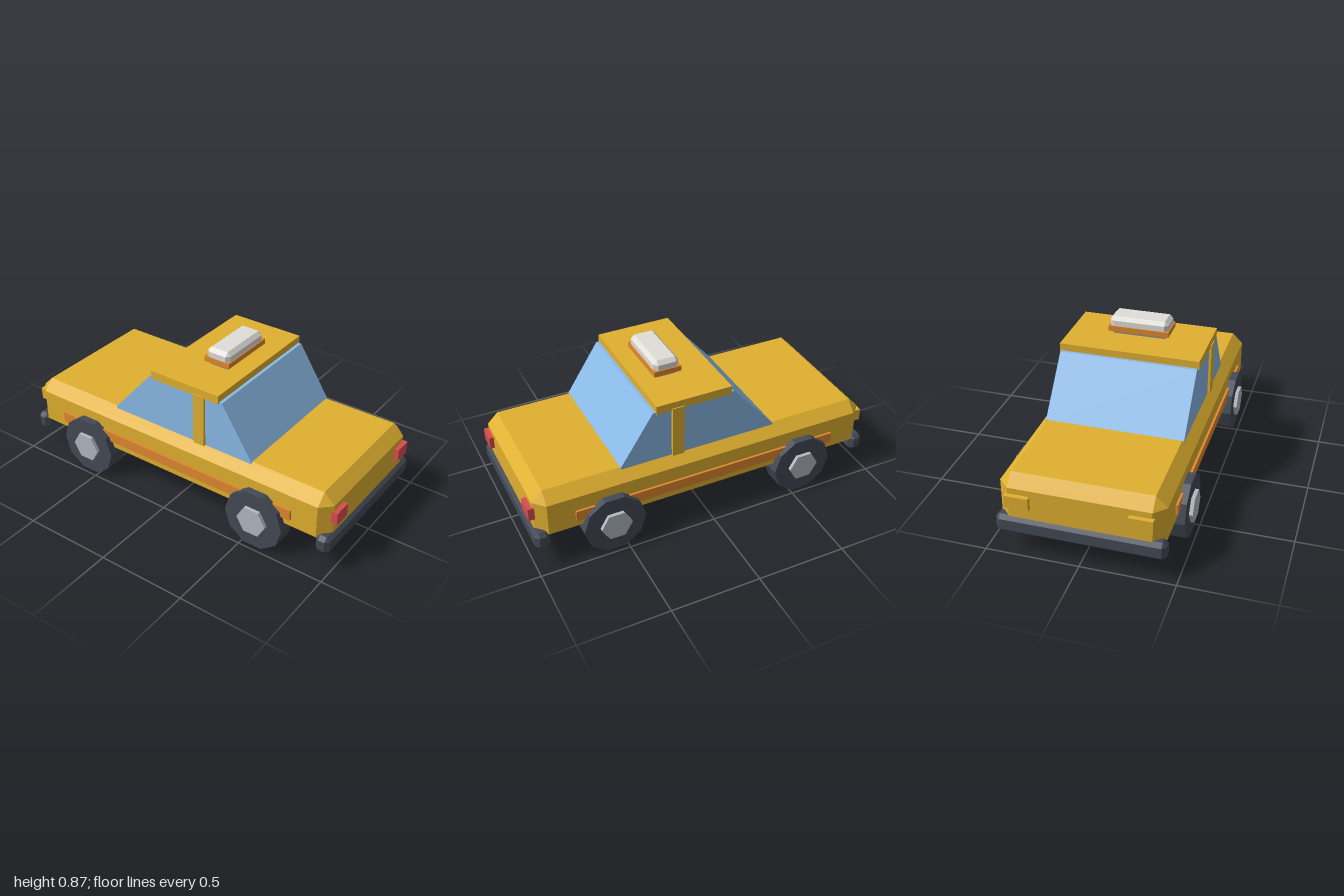
import * as THREE from 'three';
import { ConvexGeometry } from 'three/addons/geometries/ConvexGeometry.js';

const mat = (name, color) => {
  const m = new THREE.MeshStandardMaterial({ color });
  m.name = name;
  return m;
};

// Box with every edge cut by the bevel b
function chamferBox(w, h, d, b) {
  const x = w / 2, y = h / 2, z = d / 2, pts = [];
  for (const i of [-1, 1]) for (const j of [-1, 1]) for (const k of [-1, 1]) {
    pts.push(
      new THREE.Vector3(i * x, j * (y - b), k * (z - b)),
      new THREE.Vector3(i * (x - b), j * y, k * (z - b)),
      new THREE.Vector3(i * (x - b), j * (y - b), k * z));
  }
  return new ConvexGeometry(pts);
}

export function createModel() {
  const yellow = mat('taxi yellow', 0xe0b030);
  const orange = mat('orange trim', 0xe08830);
  const glass = mat('blue glass', 0x8cbcea);
  const dark = mat('dark rubber', 0x434a55);
  const metal = mat('hubcap grey', 0xb2b9c2);
  const white = mat('sign white', 0xe0ded8);
  const red = mat('red lamp', 0xdb4c4c);

  const car = new THREE.Group();
  car.name = 'car';
  const add = (name, geometry, material, x, y, z) => {
    const mesh = new THREE.Mesh(geometry, material);
    mesh.name = name;
    mesh.position.set(x, y, z);
    car.add(mesh);
    return mesh;
  };
  const box = (w, h, d) => new THREE.BoxGeometry(w, h, d);

  // Body
  add('body', chamferBox(0.86, 0.305, 1.95, 0.06), yellow, 0, 0.2925, 0);

  // Cabin glass: side profile extruded across the car
  const profile = new THREE.Shape([
    [-0.49, 0.43], [0.41, 0.43], [0.41, 0.445], [0.16, 0.732], [-0.305, 0.732], [-0.49, 0.445],
  ].map(([a, b]) => new THREE.Vector2(a, b)));
  const cabin = new THREE.ExtrudeGeometry(profile, { depth: 0.76, bevelEnabled: false });
  cabin.translate(0, 0, -0.38).rotateY(Math.PI / 2);
  add('cabinGlass', cabin, glass, 0, 0, 0);

  // Roof and door pillars
  add('roof', box(0.776, 0.048, 0.43), yellow, 0, 0.748, 0.072);
  for (const s of [-1, 1]) add('doorPillar', box(0.03, 0.3, 0.068), yellow, s * 0.379, 0.585, 0.166);

  // Roof sign with its trim band
  add('roofSign', chamferBox(0.33, 0.105, 0.145, 0.021), white, 0, 0.8225, 0.121);
  add('signBand', box(0.34, 0.03, 0.156), orange, 0, 0.808, 0.121);

  // Bumpers
  for (const s of [-1, 1]) add('bumper', chamferBox(0.884, 0.103, 0.08, 0.022), dark, 0, 0.168, s * 0.953);

  const tyre = new THREE.CylinderGeometry(0.174, 0.174, 0.124, 10).toNonIndexed();
  const hub = new THREE.CylinderGeometry(0.087, 0.087, 0.04, 6).toNonIndexed();
  for (const g of [tyre, hub]) {
    g.rotateZ(Math.PI / 2); // axle along x, a corner pointing along z
    g.computeVertexNormals();
  }

  for (const s of [-1, 1]) {
    // Lamps, front and rear
    add('frontLamp', box(0.102, 0.072, 0.04), red, s * 0.328, 0.317, 0.98);
    add('rearLamp', box(0.126, 0.07, 0.04), yellow, s * 0.317, 0.317, -0.98);
    // Side trim strip
    add('sideTrim', box(0.03, 0.06, 1.535), orange, s * 0.428, 0.271, 0);
    // Wheels
    for (const z of [0.566, -0.566]) {
      add('tyre', tyre, dark, s * 0.41, 0.1655, z);
      add('hubcap', hub, metal, s * 0.472, 0.167, z);
    }
  }
  return car;
}
